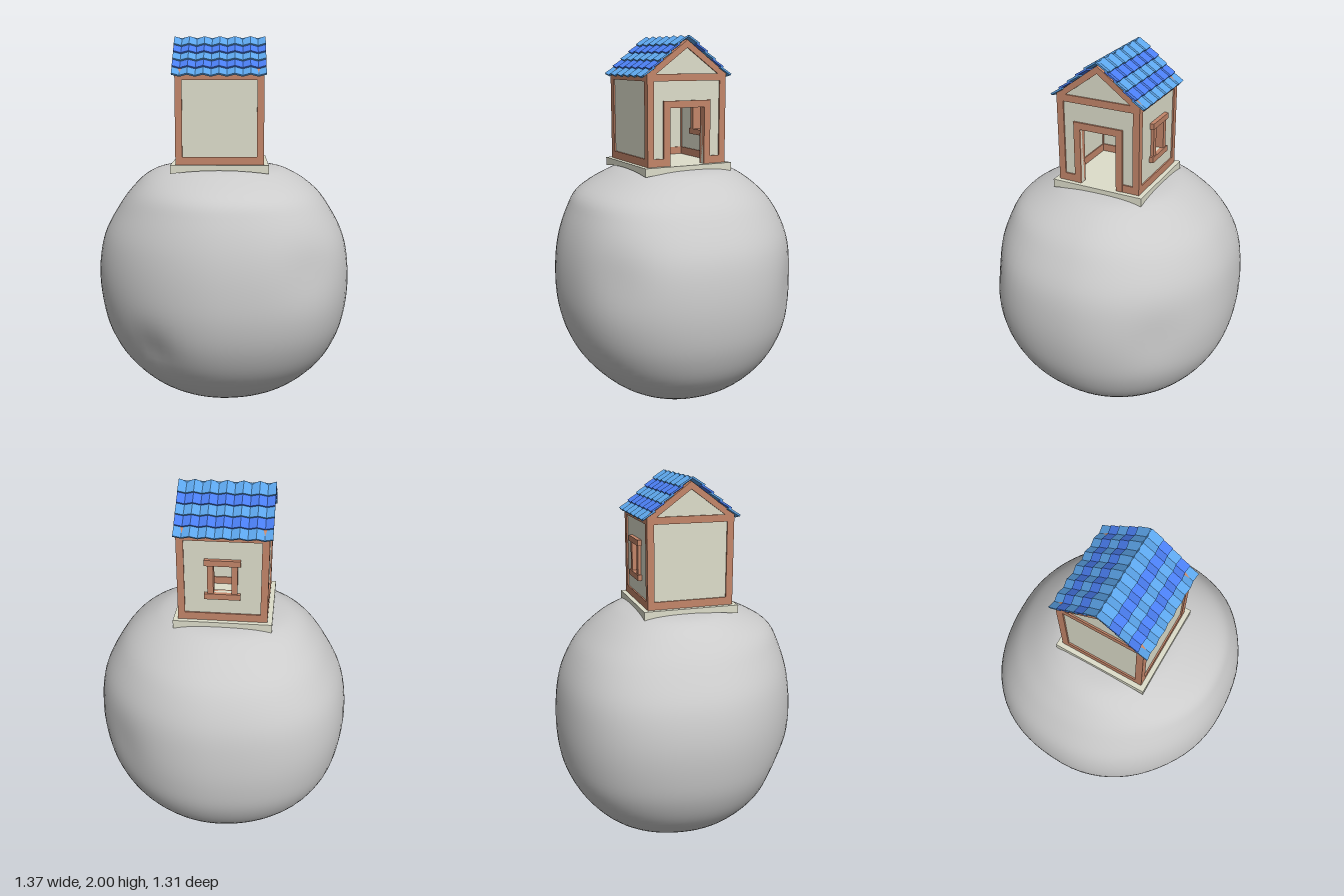
import * as THREE from 'three';

const paint = (color, flatShading = false) =>
  new THREE.MeshStandardMaterial({ color, flatShading, side: THREE.DoubleSide });
const rockMat = paint(0xcccccc);
const plaster = paint(0xdedecb, true);
const wood = paint(0xc4866a, true);
const tileMats = [paint(0x5ca5ea, true), paint(0x4a7df0, true)];

const W = 0.2275;      // half width of the house
const H = 0.465;       // wall height
const PEAK = 0.632;    // gable height
const BEAM = 0.036;

function add(parent, name, geometry, material) {
  const mesh = new THREE.Mesh(geometry, material);
  mesh.name = name;
  parent.add(mesh);
  return mesh;
}

// Box given by its lower and upper limits on each axis
function block(parent, name, x0, x1, y0, y1, z0, z1, material = wood) {
  const mesh = add(parent, name, new THREE.BoxGeometry(x1 - x0, y1 - y0, z1 - z0), material);
  mesh.position.set((x0 + x1) / 2, (y0 + y1) / 2, (z0 + z1) / 2);
  return mesh;
}

const polygon = (pts) => new THREE.Shape(pts.map(([x, y]) => new THREE.Vector2(x, y)));
const extrude = (shape, depth) => new THREE.ExtrudeGeometry(shape, { depth, bevelEnabled: false });

// Lumpy boulder: four side profiles blended around the vertical axis
function boulder() {
  // height, then reach towards -x, +x, +z, -z
  const rows = [
    [0, 0, 0, 0, 0],
    [0.045, 0.21, 0.225, 0.2, 0.22],
    [0.13, 0.4, 0.405, 0.375, 0.4],
    [0.27, 0.55, 0.555, 0.52, 0.535],
    [0.43, 0.64, 0.64, 0.61, 0.62],
    [0.6, 0.68, 0.678, 0.653, 0.65],
    [0.78, 0.688, 0.682, 0.658, 0.648],
    [0.95, 0.655, 0.652, 0.637, 0.62],
    [1.1, 0.575, 0.575, 0.59, 0.55],
    [1.2, 0.5, 0.495, 0.53, 0.46],
    [1.28, 0.41, 0.38, 0.38, 0.35],
    [1.318, 0.29, 0.26, 0.25, 0.24],
    [1.333, 0, 0, 0, 0],
  ];
  const sides = [1, 2, 3, 4].map((k) =>
    new THREE.SplineCurve(rows.map((r) => new THREE.Vector2(r[k], r[0]))));
  // shallow dents: centre, radius, depth
  const dents = [[-0.36, 0.42, 0.5, 0.13, 0.025], [0.42, 0.85, 0.5, 0.15, 0.015], [0.5, 0.7, -0.45, 0.16, 0.015]];
  const N = 72, M = 60, pos = [], index = [];
  for (let j = 0; j <= M; j++) {
    const [l, r, f, b] = sides.map((s) => s.getPoint(j / M));
    for (let i = 0; i < N; i++) {
      const a = (i / N) * Math.PI * 2, c = Math.cos(a), s = Math.sin(a);
      const corner = c * s > 0 ? 0.06 : -0.015;
      const swell = 1 + corner * Math.sin(2 * a) ** 2 * Math.sin((Math.PI * j) / M);
      let x = c * (c < 0 ? l.x : r.x) * swell, z = s * (s < 0 ? b.x : f.x) * swell;
      for (const [dx, dy, dz, radius, depth] of dents) {
        const d2 = (x - dx) ** 2 + (l.y - dy) ** 2 + (z - dz) ** 2;
        const k = 1 - (depth / 0.65) * Math.exp(-d2 / radius ** 2);
        x *= k;
        z *= k;
      }
      pos.push(x, Math.max(0, l.y), z);
      if (j < M) {
        const p = j * N + i, q = j * N + ((i + 1) % N);
        index.push(p, p + N, q, q, p + N, q + N);
      }
    }
  }
  const g = new THREE.BufferGeometry();
  g.setAttribute('position', new THREE.Float32BufferAttribute(pos, 3));
  g.setIndex(index);
  g.computeVertexNormals();
  return g;
}

// Foundation slab whose underside follows the boulder
function foundation() {
  const g = new THREE.BoxGeometry(0.505, 0.04, 0.505, 12, 1, 12);
  const p = g.attributes.position;
  for (let i = 0; i < p.count; i++) {
    const top = p.getY(i) > 0;
    p.setY(i, top ? 0 : -0.01 - 0.27 * (p.getX(i) ** 2 + p.getZ(i) ** 2));
  }
  g.computeVertexNormals();
  return g;
}

// One wall with its timber, facing +z before it is turned
function wall(house, name, angle, { gable = false, hole = null }) {
  const side = new THREE.Group();
  side.name = name;
  side.rotation.y = angle;
  house.add(side);
  const e = W - 0.01;
  const pts = [[-e, 0]];
  if (hole && hole[2] === 0) {
    const [x0, x1, , y1] = hole;
    pts.push([x0, 0], [x0, y1], [x1, y1], [x1, 0]);
  }
  pts.push([e, 0], [e, H]);
  if (gable) pts.push([0, PEAK - 0.01]);
  pts.push([-e, H]);
  const shape = polygon(pts);
  if (hole && hole[2] > 0) {
    const [x0, x1, y0, y1] = hole;
    shape.holes.push(polygon([[x0, y0], [x0, y1], [x1, y1], [x1, y0]]));
  }
  add(side, name + 'Panel', extrude(shape, 0.022), plaster).position.z = W - 0.03;

  const z0 = W - BEAM, inner = W - BEAM;
  block(side, 'topBeam', -inner, inner, H - BEAM, H, z0, W);
  if (hole && hole[2] === 0) {
    for (const s of [-1, 1]) {
      const a = s * 0.136, b = s * inner;
      block(side, 'bottomBeam', Math.min(a, b), Math.max(a, b), 0, 0.04, z0, W);
    }
  } else block(side, 'bottomBeam', -inner, inner, 0, 0.04, z0, W);
  if (gable) {
    const v = polygon([[-W, H], [-W + 0.05, H], [0, PEAK - 0.038], [W - 0.05, H], [W, H], [0, PEAK]]);
    add(side, 'gableRafters', extrude(v, BEAM), wood).position.z = z0;
  }
  return side;
}

// A strip of wavy tiles
function tileRow() {
  const g = new THREE.BoxGeometry(0.48, 0.009, 0.074, 24, 1, 1);
  const p = g.attributes.position;
  for (let i = 0; i < p.count; i++) {
    p.setY(i, p.getY(i) + 0.006 * Math.cos((p.getX(i) / 0.08) * Math.PI * 2));
  }
  g.computeVertexNormals();
  return g;
}

export function createModel() {
  const model = new THREE.Group();
  model.name = 'houseOnBoulder';
  add(model, 'boulder', boulder(), rockMat);

  const house = new THREE.Group();
  house.name = 'house';
  house.position.set(-0.0175, 1.345, 0.029);
  model.add(house);
  add(house, 'foundation', foundation(), plaster);

  // Walls
  wall(house, 'frontWall', 0, {});
  wall(house, 'plainGableWall', -Math.PI / 2, { gable: true });
  const doorWall = wall(house, 'doorWall', Math.PI / 2, { gable: true, hole: [-0.1, 0.1, 0, 0.295] });
  const windowWall = wall(house, 'windowWall', Math.PI, { hole: [-0.05, 0.05, 0.155, 0.305] });

  // Corner posts
  for (const sx of [-1, 1]) for (const sz of [-1, 1]) {
    const c = W - BEAM / 2;
    const post = add(house, 'cornerPost', new THREE.BoxGeometry(BEAM, H, BEAM), wood);
    post.position.set(sx * c, H / 2, sz * c);
  }

  // Door and window frames
  for (const s of [-1, 1]) {
    block(doorWall, 'doorJamb', s * 0.118 - 0.018, s * 0.118 + 0.018, 0, 0.295, W - 0.045, W + 0.002);
    block(windowWall, 'windowPost', s * 0.06 - 0.015, s * 0.06 + 0.015, 0.15, 0.31, W - 0.04, W + 0.008);
    const y = 0.23 + s * 0.09;
    block(windowWall, 'windowRail', -0.09, 0.09, y - 0.015, y + 0.015, W - 0.04, W + 0.014);
  }
  block(doorWall, 'doorLintel', -0.136, 0.136, 0.295, 0.331, W - 0.045, W + 0.002);

  // Roof: five overlapping rows of tiles on each slope
  const row = tileRow();
  for (const s of [1, -1]) {
    const slope = new THREE.Group();
    slope.name = s > 0 ? 'frontRoofSlope' : 'backRoofSlope';
    slope.position.set(-0.0025, 0.647, 0);
    slope.rotation.set(s * 0.685, 0, 0);
    house.add(slope);
    for (let i = 0; i < 5; i++) {
      const strip = add(slope, 'tileRow', row, tileMats[i % 2]);
      strip.position.set(0, 0.003, s * (0.035 + i * 0.061));
      strip.rotation.x = -s * 0.13;
    }
  }
  return model;
}
